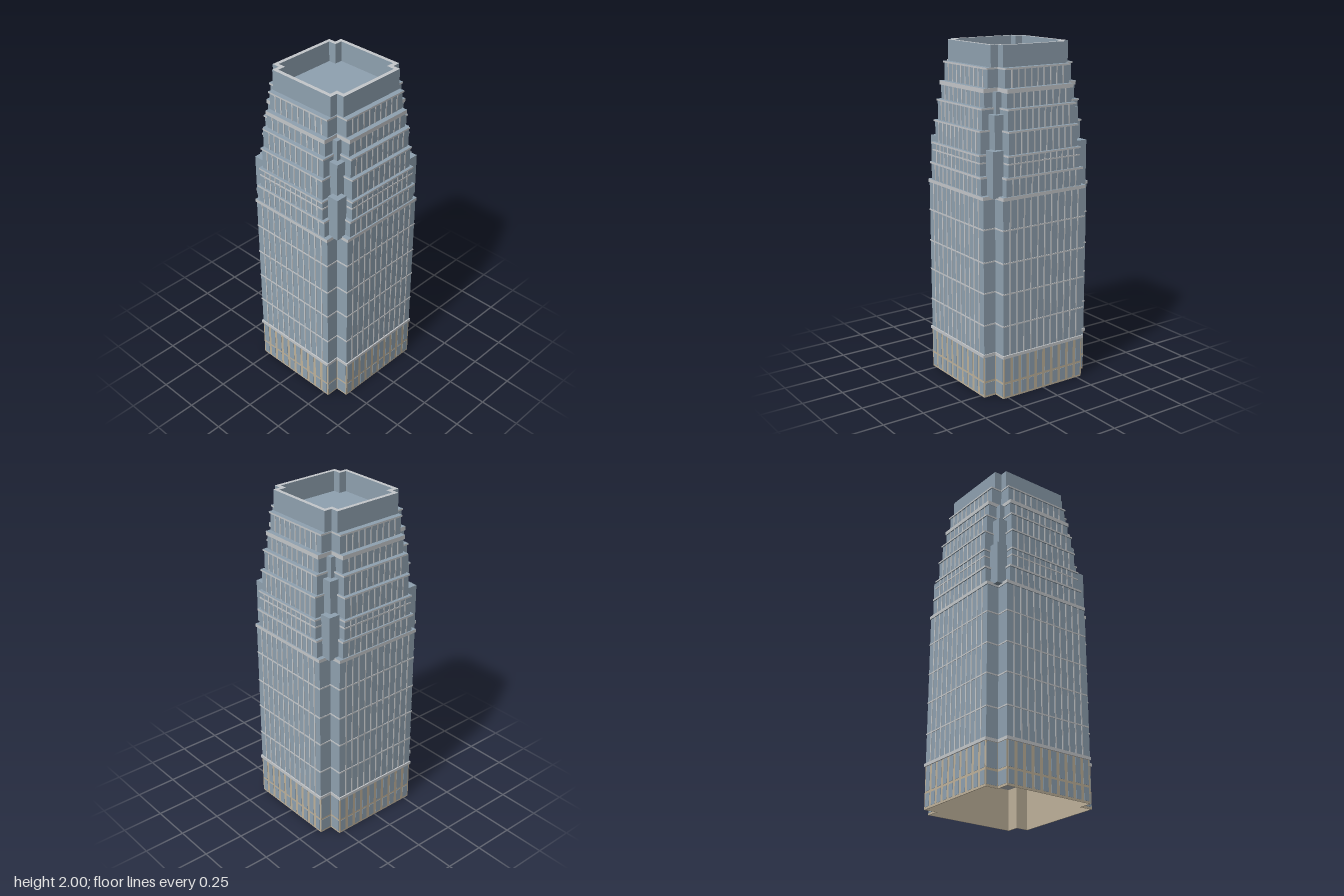
import * as THREE from 'three';

const glass = new THREE.MeshStandardMaterial({ color: 0x8fa1b0 });
const trim = new THREE.MeshStandardMaterial({ color: 0xc4c7ca });
const stone = new THREE.MeshStandardMaterial({ color: 0xbfb29b });
glass.name = 'blue grey glass';
trim.name = 'pale grey trim';
stone.name = 'tan stone';

// Square plan with notched corners: h = half width, a = half width of each projecting face
function plan(h, a, Type = THREE.Shape) {
  const corner = [[h, -a], [h, a], [a, a]];
  const points = [];
  for (let i = 0; i < 4; i++) {
    for (const [x, y] of corner) {
      const p = new THREE.Vector2(x, y);
      for (let k = 0; k < i; k++) p.set(-p.y, p.x);
      points.push(p);
    }
  }
  return new Type(points);
}

// Upright prism from a plan; capMat covers top and bottom, sideMat the walls
function prism(name, shape, y0, y1, capMat, sideMat) {
  const geo = new THREE.ExtrudeGeometry(shape, { depth: y1 - y0, bevelEnabled: false });
  geo.rotateX(-Math.PI / 2).translate(0, y0, 0);
  const mesh = new THREE.Mesh(geo, [capMat, sideMat]);
  mesh.name = name;
  return mesh;
}

function box(name, mat, x0, x1, y0, y1, z0, z1) {
  const mesh = new THREE.Mesh(new THREE.BoxGeometry(x1 - x0, y1 - y0, z1 - z0), mat);
  mesh.position.set((x0 + x1) / 2, (y0 + y1) / 2, (z0 + z1) / 2);
  mesh.name = name;
  return mesh;
}

// Repeat a part on all four sides
function fourSides(name, build) {
  const group = new THREE.Group();
  group.name = name;
  for (let i = 0; i < 4; i++) {
    const side = new THREE.Group();
    side.name = name + 'Side';
    build(side);
    side.rotation.y = i * Math.PI / 2;
    group.add(side);
  }
  return group;
}

// Vertical strips dividing a face into panels
function mullions(h, a, y0, y1, count) {
  return fourSides('mullions', side => {
    for (let i = 1; i < count; i++) {
      const x = -a + 2 * a * i / count;
      side.add(box('mullion', trim, x - 0.004, x + 0.004, y0, y1, h - 0.002, h + 0.003));
    }
  });
}

export function createModel() {
  const tower = new THREE.Group();
  tower.name = 'tower';

  // Hollow stone base with glass panes
  const H = 0.363, A = 0.285;
  const baseShape = plan(H, A);
  baseShape.holes.push(plan(H - 0.006, A - 0.006, THREE.Path));
  tower.add(prism('base', baseShape, 0, 0.25, stone, stone));
  tower.add(fourSides('baseWindows', side => {
    const count = 10, pitch = 2 * A / count;
    for (const [y0, y1] of [[0.012, 0.088], [0.102, 0.245]]) {
      for (let i = 0; i < count; i++) {
        const x = -A + pitch * (i + 0.5);
        side.add(box('baseWindow', glass, x - 0.018, x + 0.018, y0, y1, H - 0.003, H + 0.002));
      }
      // panes on the notch walls
      for (const s of [-1, 1]) {
        const x = s * (A + H) / 2;
        side.add(box('notchWindow', glass, x - 0.034, x + 0.034, y0, y1, A - 0.003, A + 0.002));
      }
    }
  }));
  tower.add(prism('baseCornice', plan(0.371, 0.29), 0.247, 0.265, trim, trim));

  // Main shaft with floor bands
  tower.add(prism('shaft', plan(H, A), 0.265, 1.17, glass, glass));
  tower.add(mullions(H, A, 0.265, 1.17, 12));
  for (const y of [0.44, 0.63, 0.81, 1.0]) {
    tower.add(prism('floorBand', plan(H + 0.003, A + 0.003), y - 0.004, y + 0.004, trim, trim));
  }
  tower.add(prism('shaftCap', plan(0.369, 0.289), 1.168, 1.188, glass, trim));

  // Stepped upper tiers: half width, face half width, bottom, top, cap height, panels
  const tiers = [
    [0.361, 0.262, 1.188, 1.295, 0.012, 12],
    [0.358, 0.246, 1.295, 1.415, 0.010, 12],
    [0.347, 0.236, 1.415, 1.545, 0.010, 11],
    [0.331, 0.230, 1.545, 1.665, 0.010, 11],
    [0.311, 0.222, 1.665, 1.770, 0.024, 10],
    [0.288, 0.219, 1.770, 1.880, 0.010, 10],
  ];
  tiers.forEach(([h, a, y0, y1, cap, count], i) => {
    tower.add(prism('tier' + (i + 1), plan(h, a), y0, y1 - cap, glass, glass));
    tower.add(prism('tierCap' + (i + 1), plan(h + 0.007, a + 0.004), y1 - cap, y1, glass, trim));
    tower.add(mullions(h, a, y0, y1 - cap, count));
  });
  tower.add(prism('tierBand', plan(0.361, 0.249), 1.363, 1.371, trim, trim));

  // Corner piers rising in the notches
  const piers = [
    [0.255, 0.324, 1.18, 1.44],
    [0.226, 0.288, 1.29, 1.63],
    [0.212, 0.256, 1.41, 1.75],
  ];
  tower.add(fourSides('cornerPiers', side => {
    for (const [p, q, y0, y1] of piers) side.add(box('cornerPier', glass, p, q, y0, y1, p, q));
  }));

  // Open crown with a pale rim
  const crown = plan(0.264, 0.217);
  crown.holes.push(plan(0.241, 0.193, THREE.Path));
  tower.add(prism('crown', crown, 1.88, 2, trim, glass));

  return tower;
}
